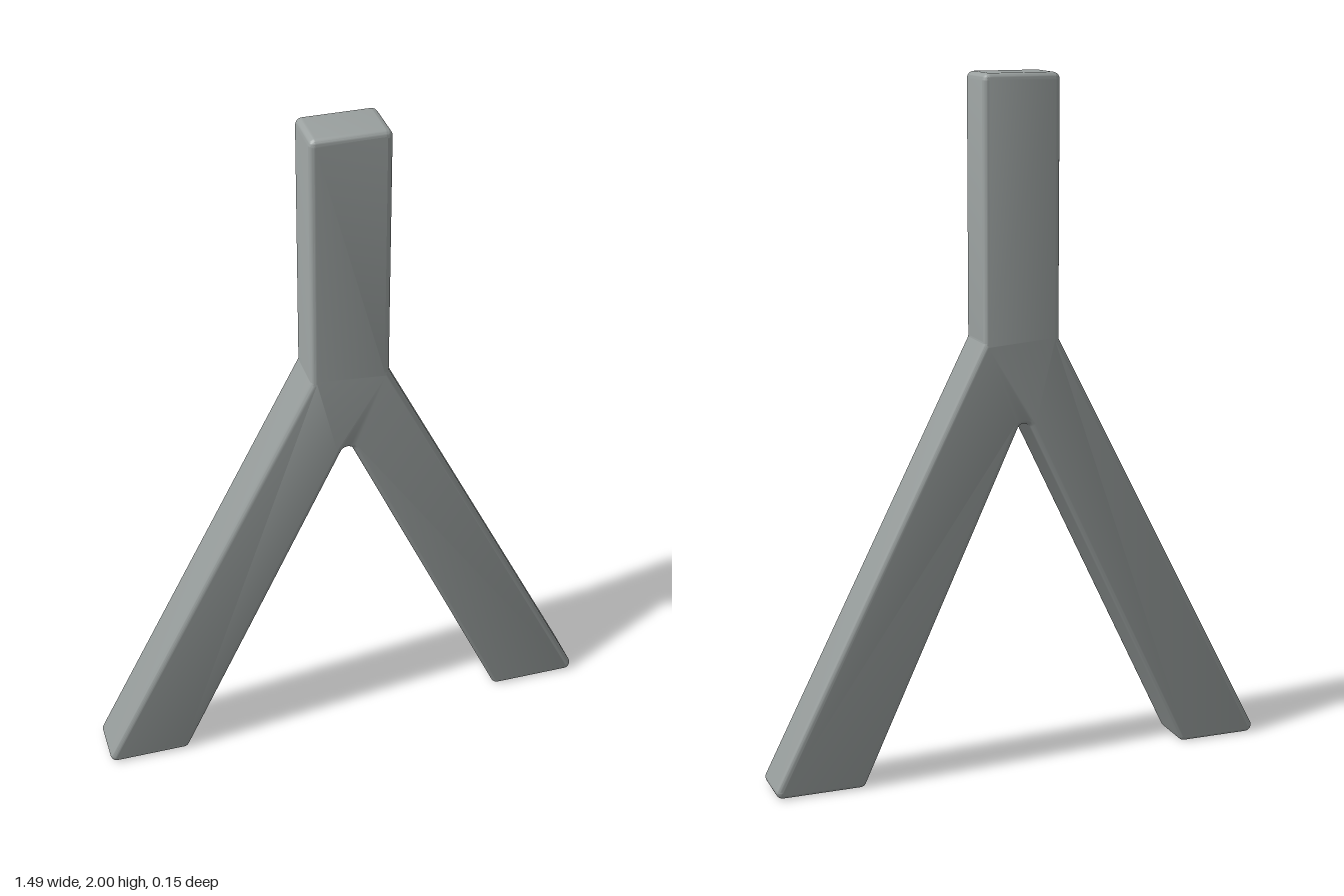
import * as THREE from 'three';
import { toCreasedNormals } from 'three/addons/utils/BufferGeometryUtils.js';

// Closed shape whose corners are rounded to a radius
function roundedShape(points, radius) {
  const shape = new THREE.Shape();
  const n = points.length;
  points.forEach(([x, y], i) => {
    const p = new THREE.Vector2(x, y);
    const a = new THREE.Vector2(...points[(i + n - 1) % n]).sub(p).normalize();
    const b = new THREE.Vector2(...points[(i + 1) % n]).sub(p).normalize();
    const half = Math.acos(a.dot(b)) / 2;
    const setback = radius / Math.tan(half);
    const c = a.clone().add(b).normalize().multiplyScalar(radius / Math.sin(half)).add(p);
    const start = a.multiplyScalar(setback).add(p);
    const end = b.multiplyScalar(setback).add(p);
    const turn = (p.x - start.x) * (end.y - p.y) - (p.y - start.y) * (end.x - p.x);
    if (i === 0) shape.moveTo(start.x, start.y);
    shape.absarc(c.x, c.y, radius,
      Math.atan2(start.y - c.y, start.x - c.x),
      Math.atan2(end.y - c.y, end.x - c.x), turn < 0);
  });
  shape.closePath();
  return shape;
}

export function createModel() {
  const group = new THREE.Group();
  const grey = new THREE.MeshStandardMaterial({ color: 0x9aa09f });
  grey.name = 'grey';

  // Post that forks into two splayed legs, counter-clockwise from the top left
  const outline = [
    [-0.105, 2], [-0.105, 1.26], [-0.757, 0], [-0.507, 0], [0, 1.05],
    [0.485, 0], [0.755, 0], [0.12, 1.26], [0.12, 2],
  ];
  const bevel = 0.016;
  const thickness = 0.15;
  const geometry = new THREE.ExtrudeGeometry(roundedShape(outline, 0.02), {
    depth: thickness - 2 * bevel,
    bevelEnabled: true,
    bevelSize: bevel,
    bevelThickness: bevel,
    bevelOffset: -bevel,
    bevelSegments: 6,
    curveSegments: 5,
  });
  geometry.translate(0, 0, -thickness / 2 + bevel);

  const fork = new THREE.Mesh(toCreasedNormals(geometry, 0.4), grey);
  fork.name = 'forkedPost';
  group.add(fork);
  return group;
}
